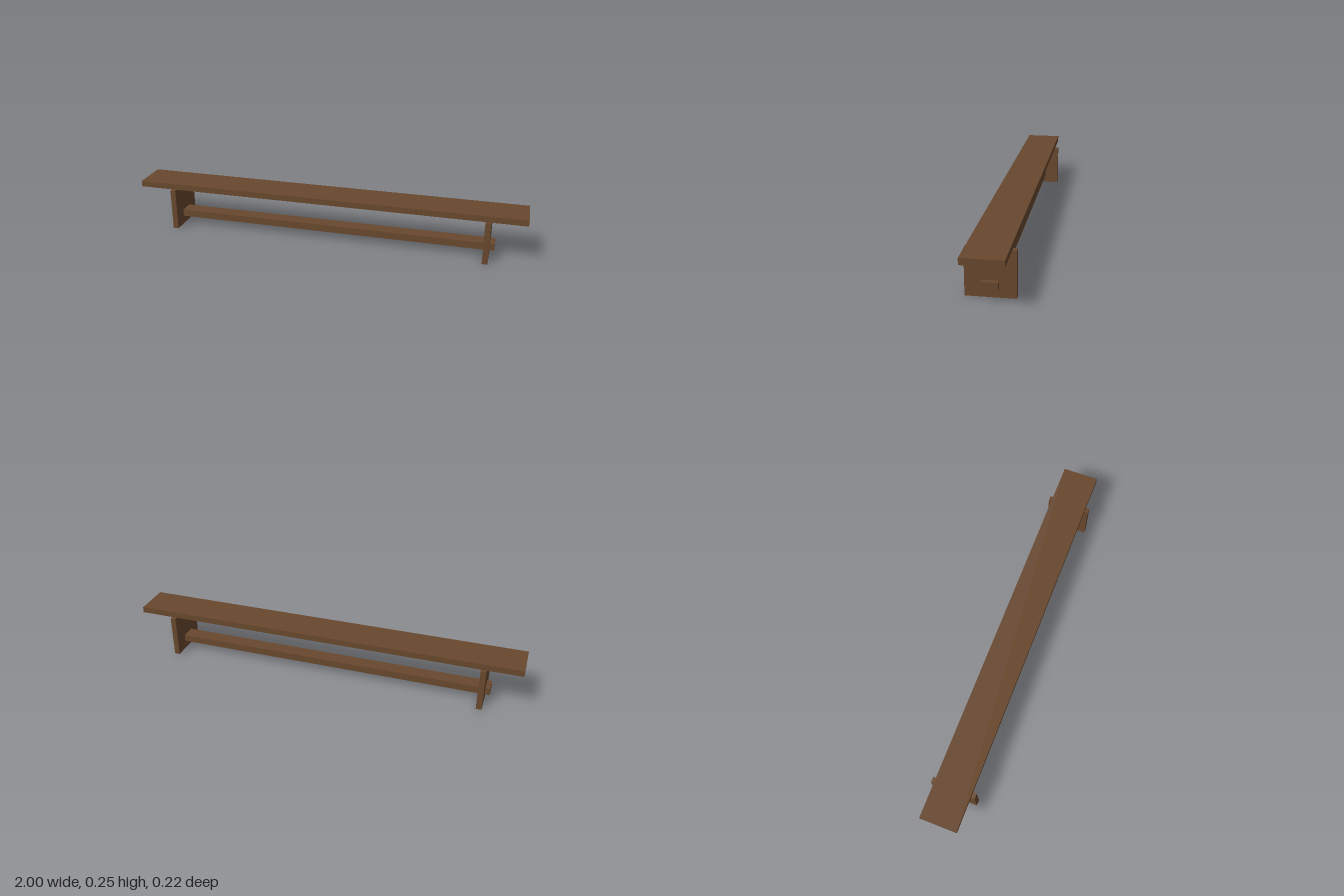
import * as THREE from 'three';

export function createModel() {
  const bench = new THREE.Group();
  bench.name = 'bench';
  const wood = new THREE.MeshStandardMaterial({ color: 0x68472d });
  wood.name = 'brown wood';

  // Adds a board given its size and the centre of its underside
  function board(name, width, height, depth, x, y) {
    const mesh = new THREE.Mesh(new THREE.BoxGeometry(width, height, depth), wood);
    mesh.name = name;
    mesh.position.set(x, y + height / 2, 0);
    bench.add(mesh);
  }

  // Long seat plank
  board('seat', 2, 0.03, 0.185, 0, 0.215);

  // Slab legs, slightly wider than the seat
  for (const side of [-1, 1]) {
    board(side > 0 ? 'leftLeg' : 'rightLeg', 0.028, 0.215, 0.222, side * 0.814, 0);
  }

  // Stretcher passing through both legs, its ends showing as tenons
  board('stretcher', 1.705, 0.036, 0.074, 0, 0.042);

  return bench;
}
